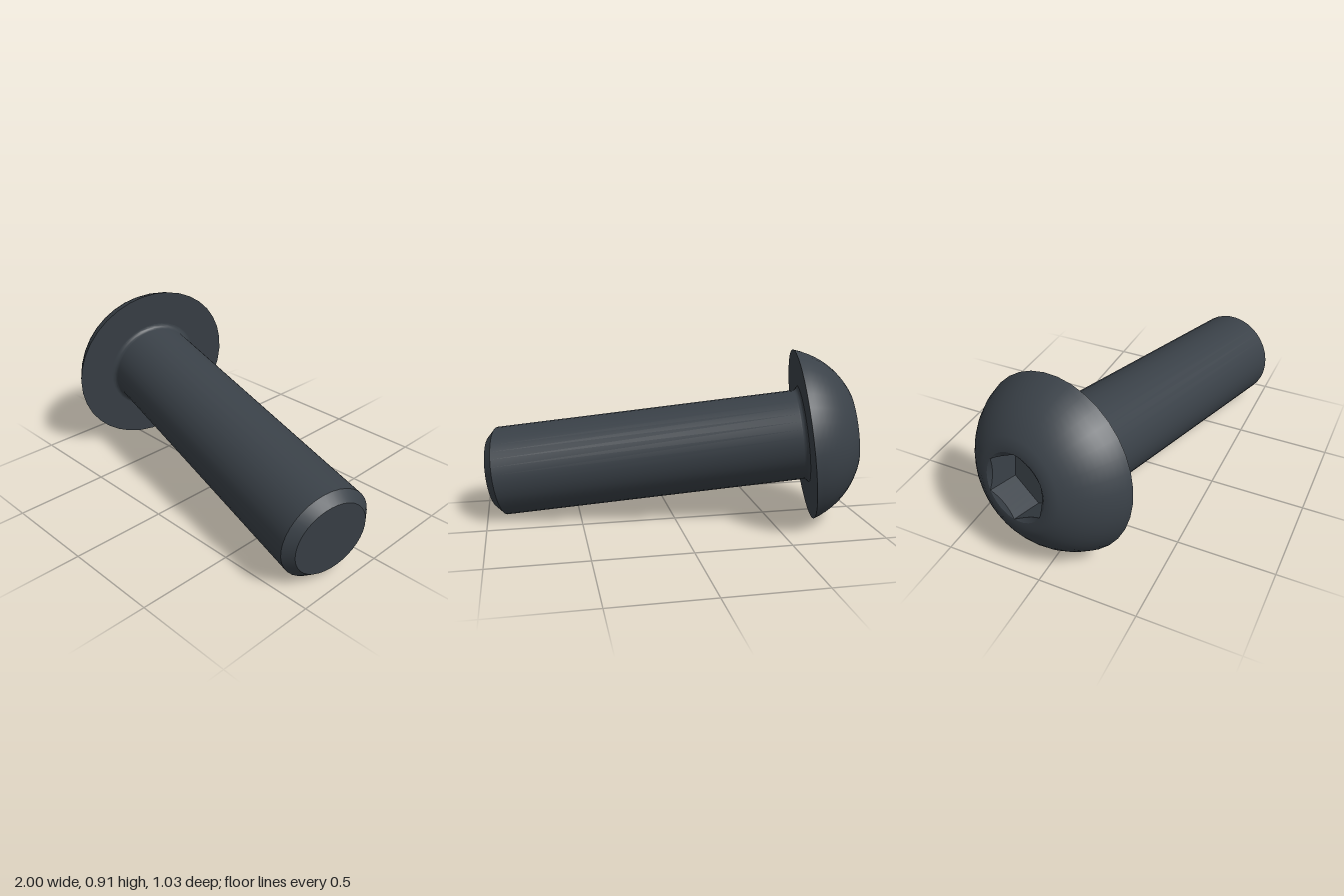
import * as THREE from 'three';
import { toCreasedNormals } from 'three/addons/utils/BufferGeometryUtils.js';

const SIDES = 36;
const SHANK_R = 0.242, TIP_R = 0.197, LENGTH = 1.693, FILLET = 0.025;
const HEAD_R = 0.459, HEAD_H = 0.266, FLAT_R = 0.21;
const HEX_R = 0.1745, HEX_DEPTH = 0.163;

const P = (r, y) => new THREE.Vector2(r, y);

// Points along an arc in the profile plane, from angle a to angle b
function arc(cx, cy, radius, a, b, steps) {
  return Array.from({ length: steps + 1 }, (_, i) => {
    const t = a + ((b - a) * i) / steps;
    return P(cx + radius * Math.cos(t), cy + radius * Math.sin(t));
  });
}

const lathe = (points) => new THREE.LatheGeometry(points, SIDES);

// Hexagonal socket: a lathe whose wall rings are pulled onto a hexagon
function socketGeometry() {
  const floor = HEAD_H - HEX_DEPTH;
  const rings = [P(HEX_R, HEAD_H), P(HEX_R, HEAD_H), P(HEX_R, floor), P(0, floor)];
  const geometry = lathe(rings);
  const pos = geometry.attributes.position;
  const apothem = HEX_R * Math.cos(Math.PI / 6);
  for (let i = 0; i <= SIDES; i++) {
    const angle = ((i % SIDES) / SIDES) * Math.PI * 2;
    const r = apothem / Math.cos((angle % (Math.PI / 3)) - Math.PI / 6);
    for (const j of [1, 2]) {
      // the countersink cuts deeper at the middle of each flat
      const y = j === 1 ? HEAD_H - (HEX_R - r) * 0.6 : floor;
      pos.setXYZ(i * rings.length + j, r * Math.sin(angle), y, r * Math.cos(angle));
    }
  }
  return geometry;
}

export function createModel() {
  const model = new THREE.Group();
  model.name = 'bolt';
  const steel = new THREE.MeshStandardMaterial({ color: 0x3a4148 });
  steel.name = 'dark steel';

  const add = (name, geometry) => {
    const mesh = new THREE.Mesh(toCreasedNormals(geometry, 0.5), steel);
    mesh.name = name;
    bolt.add(mesh);
  };

  // Bolt built upright, underside of the head at y = 0
  const bolt = new THREE.Group();
  bolt.name = 'tiltedBolt';
  model.add(bolt);

  // Shank with chamfered tip and a small fillet under the head
  add('shank', lathe([
    P(0, -LENGTH),
    P(TIP_R, -LENGTH),
    P(SHANK_R, -LENGTH + SHANK_R - TIP_R),
    ...arc(SHANK_R + FILLET, -FILLET, FILLET, Math.PI, Math.PI / 2, 6),
  ]));

  // Domed head with flat underside and flat top ring
  const cx = 0.043, cy = -0.14;
  const domeR = Math.hypot(HEAD_R - cx, cy);
  add('head', lathe([
    P(SHANK_R + FILLET, 0),
    ...arc(cx, cy, domeR, Math.atan2(-cy, HEAD_R - cx),
      Math.atan2(HEAD_H - cy, FLAT_R - cx), 10),
    P(HEX_R, HEAD_H),
  ]));

  add('hexSocket', socketGeometry());

  // Lay the bolt down along its tilted axis
  const yAxis = new THREE.Vector3(-0.97, 0.129, -0.207).normalize();
  const xAxis = new THREE.Vector3().crossVectors(yAxis, new THREE.Vector3(0, 1, 0)).normalize();
  const zAxis = new THREE.Vector3().crossVectors(xAxis, yAxis);
  bolt.quaternion.setFromRotationMatrix(new THREE.Matrix4().makeBasis(xAxis, yAxis, zAxis));
  bolt.position.set(-0.69, 0.455, -0.063);

  return model;
}
